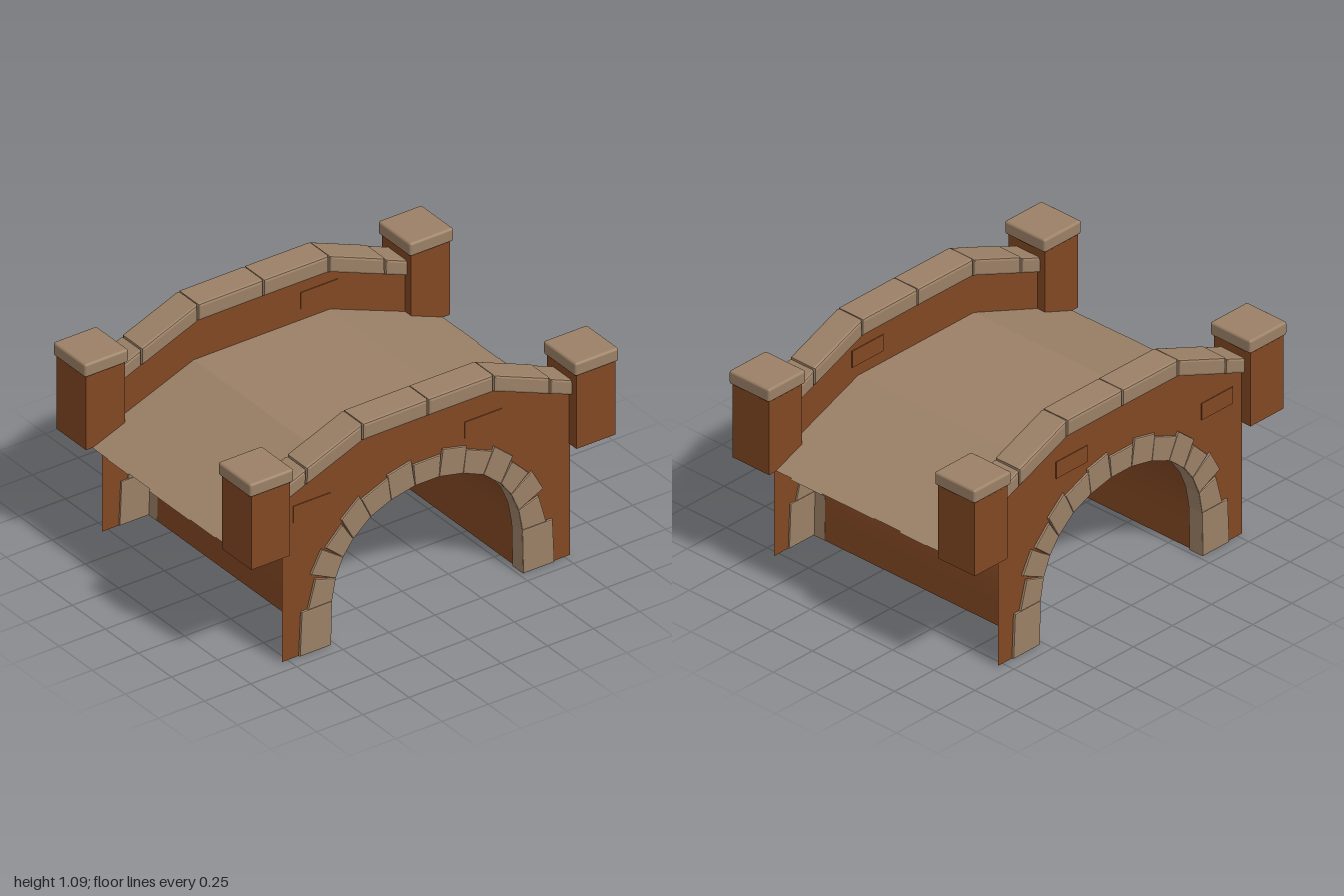
import * as THREE from 'three';
import { RoundedBoxGeometry } from 'three/addons/geometries/RoundedBoxGeometry.js';

const stone = new THREE.MeshStandardMaterial({ color: 0x9b8066, side: THREE.DoubleSide });
stone.name = 'tan stone';
const brick = new THREE.MeshStandardMaterial({ color: 0x814722, side: THREE.DoubleSide });
brick.name = 'brown brick';

const v2 = (p) => new THREE.Vector2(p[0], p[1]);

// Arch stones of one half: inner start, inner end, outer end, outer start
const ARCH_STONES = [
  [[0.065, 0.66], [0.195, 0.632], [0.215, 0.765], [0.085, 0.795]],
  [[0.195, 0.632], [0.305, 0.585], [0.355, 0.69], [0.21, 0.75]],
  [[0.305, 0.585], [0.4, 0.505], [0.465, 0.625], [0.365, 0.71]],
  [[0.4, 0.505], [0.455, 0.43], [0.55, 0.51], [0.46, 0.6]],
  [[0.455, 0.43], [0.495, 0.335], [0.63, 0.4], [0.57, 0.51]],
  [[0.495, 0.335], [0.515, 0.225], [0.645, 0.225], [0.605, 0.37]],
  [[0.515, 0.225], [0.52, 0], [0.69, 0], [0.68, 0.225]],
];
const KEYSTONE = [[-0.065, 0.66], [0.065, 0.66], [0.075, 0.77], [-0.075, 0.77]];

// Half profiles of the parapet top and the roadway
const wallTop = (x) => Math.min(1.0, 1.0 - (Math.abs(x) - 0.35) * 0.395);
const deckTop = (x) => Math.min(0.8, 0.8 - (Math.abs(x) - 0.37) * 0.387);

function add(group, geometry, material, name) {
  const mesh = new THREE.Mesh(geometry, material);
  mesh.name = name;
  group.add(mesh);
  return mesh;
}

// Bevelled block: an outline in x/y given depth from z0 to z1
function block(points, z0, z1, bevel) {
  const lo = Math.min(z0, z1), depth = Math.abs(z1 - z0);
  const geometry = new THREE.ExtrudeGeometry(new THREE.Shape(points.map(v2)), {
    depth: depth - 2 * bevel,
    bevelEnabled: bevel > 0, bevelThickness: bevel, bevelSize: bevel, bevelOffset: -bevel, bevelSegments: 2,
  });
  return geometry.translate(0, 0, lo + bevel);
}

// Open sheet: a line in x/y swept from z0 to z1
function sheet(points, z0, z1, smooth) {
  const positions = [], index = [];
  points.forEach(([x, y], i) => {
    positions.push(x, y, z0, x, y, z1);
    if (i > 0) {
      const a = 2 * i - 2;
      index.push(a, a + 1, a + 2, a + 1, a + 3, a + 2);
    }
  });
  let geometry = new THREE.BufferGeometry();
  geometry.setAttribute('position', new THREE.Float32BufferAttribute(positions, 3));
  geometry.setIndex(index);
  if (!smooth) geometry = geometry.toNonIndexed();
  geometry.computeVertexNormals();
  return geometry;
}

// Smooth arch line from the left foot over the crown to the right foot
function archLine() {
  const half = ARCH_STONES.map((s) => s[1]);
  const key = [...half.map(([x, y]) => [-x, y]).reverse(), [0, 0.662], ...half];
  const curve = new THREE.SplineCurve(key.map(([x, y]) => new THREE.Vector2(x * 1.02, y > 0 ? y + 0.008 : 0)));
  return curve.getPoints(48).map((p) => [p.x, p.y]);
}

// Thin lining on the underside of one arch stone
function lining(a, b) {
  const n = new THREE.Vector2(a[1] - b[1], b[0] - a[0]).normalize().multiplyScalar(0.012);
  if (n.x * (a[0] + b[0]) + n.y < 0) n.negate();
  return [a, b, [b[0] + n.x, b[1] + n.y], [a[0] + n.x, a[1] + n.y]];
}

function addSide(root, side) {
  const group = new THREE.Group();
  group.name = side > 0 ? 'frontSide' : 'backSide';
  root.add(group);

  // Outer wall with the arch cut out
  const top = [[0.78, wallTop(0.78)], [0.35, 1], [-0.35, 1], [-0.78, wallTop(0.78)]];
  const outline = [[-0.78, 0], ...archLine(), [0.78, 0], ...top];
  add(group, new THREE.ShapeGeometry(new THREE.Shape(outline.map(v2))), brick, 'outerWall')
    .position.z = side * 0.68;

  // Inner parapet face above the roadway
  const foot = [-0.78, -0.37, 0.37, 0.78].map((x) => [x, deckTop(x) - 0.02]);
  add(group, new THREE.ShapeGeometry(new THREE.Shape([...foot, ...top].map(v2))), brick, 'innerParapet')
    .position.z = side * 0.56;

  // Slightly raised bricks
  for (const [x, y, z] of [[-0.62, 0.74, 0.68], [0.31, 0.845, 0.68], [0.31, 0.9, 0.56]]) {
    add(group, new THREE.BoxGeometry(0.2, 0.085, 0.008), brick, 'raisedBrick').position.set(x, y, side * z);
  }

  // Arch stones with their linings
  const addStone = (quad, name) => {
    add(group, block(quad, side * 0.672, side * 0.692, 0.006), stone, name);
    add(group, block(lining(quad[0], quad[1]), side * 0.61, side * 0.688, 0), stone, name + 'Lining');
  };
  addStone(KEYSTONE, 'keystone');
  for (const mirror of [-1, 1]) {
    for (const quad of ARCH_STONES) addStone(quad.map(([x, y]) => [x * mirror, y]), 'archStone');
  }

  // Coping slabs along the parapet
  const stops = [0, 0.355, 0.66, 0.8];
  for (const mirror of [-1, 1]) {
    for (let i = 0; i < 3; i++) {
      const a = stops[i] + 0.002, b = stops[i + 1] - 0.002;
      const height = i === 2 ? 0.08 : 0.086;
      const slab = [[a, wallTop(a)], [b, wallTop(b)], [b, wallTop(b) + height], [a, wallTop(a) + height]];
      add(group, block(slab.map(([x, y]) => [x * mirror, y]), side * 0.545, side * 0.7, 0.013), stone, 'copingSlab');
    }
  }

  // Corner pillars, open below, with rounded caps
  for (const mirror of [-1, 1]) {
    const pillar = new THREE.Group();
    pillar.name = 'cornerPillar';
    pillar.position.set(mirror * 0.881, 0, side * 0.625);
    group.add(pillar);
    const shaft = new THREE.CylinderGeometry(Math.SQRT1_2, Math.SQRT1_2, 1, 4, 1, true).toNonIndexed();
    shaft.rotateY(Math.PI / 4).scale(0.21, 0.385, 0.222);
    shaft.computeVertexNormals();
    add(pillar, shaft, brick, 'pillarShaft').position.y = 0.7675;
    add(pillar, new RoundedBoxGeometry(0.237, 0.068, 0.246, 2, 0.012), stone, 'pillarCap').position.y = 0.989;
  }
}

export function createModel() {
  const root = new THREE.Group();
  root.name = 'archBridge';

  // Barrel vault under the bridge
  add(root, sheet(archLine(), -0.68, 0.68, true), brick, 'archVault');

  // Roadway in strips with slightly uneven ends
  const strips = [
    [-0.6, -0.4, 0.952, 0.945], [-0.4, -0.24, 0.955, 0.948], [-0.24, -0.08, 0.95, 0.94],
    [-0.08, 0.23, 0.96, 0.944], [0.23, 0.42, 0.956, 0.95], [0.42, 0.6, 0.952, 0.942],
  ];
  for (const [z0, z1, left, right] of strips) {
    const line = [-left, -0.66, -0.37, 0, 0.37, 0.66, right].map((x) => [x, deckTop(x)]);
    add(root, sheet(line, z0, z1, false), stone, 'roadwayStrip');
  }

  addSide(root, 1);
  addSide(root, -1);
  return root;
}
